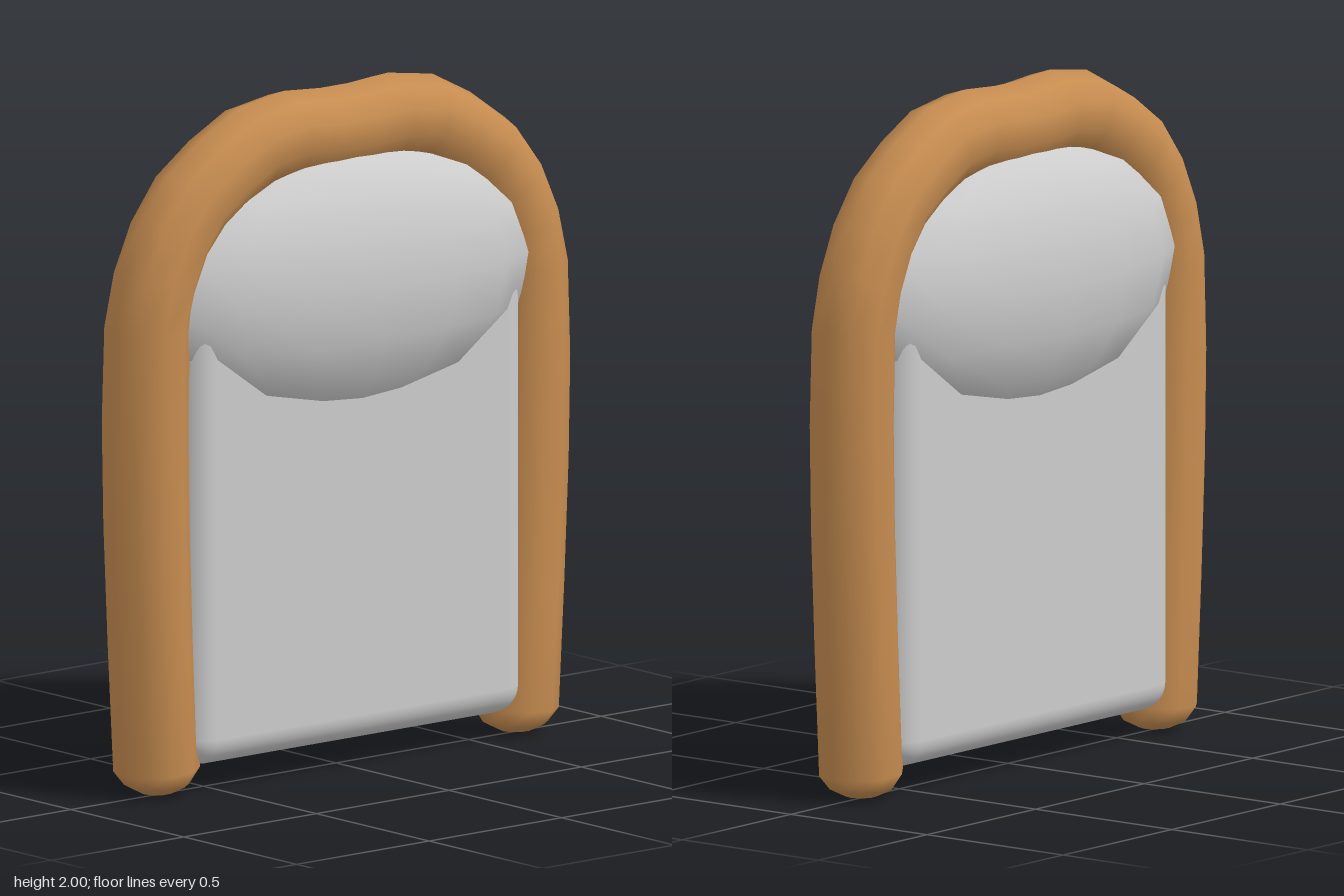
import * as THREE from 'three';
import { RoundedBoxGeometry } from 'three/addons/geometries/RoundedBoxGeometry.js';

const SIDES = 10;
const RADIUS = 0.125;

// Lofts a ten-sided tube through rings [x, y, scale] lying in the xy plane
function tubeThrough(rings) {
  const positions = [];
  const index = [];
  rings.forEach(([x, y, scale], i) => {
    const before = rings[Math.max(i - 1, 0)];
    const after = rings[Math.min(i + 1, rings.length - 1)];
    const tangent = new THREE.Vector2(after[0] - before[0], after[1] - before[1]).normalize();
    for (let j = 0; j < SIDES; j++) {
      const a = (j / SIDES) * Math.PI * 2;
      const out = Math.cos(a) * RADIUS * scale;
      positions.push(x + tangent.y * out, y - tangent.x * out, Math.sin(a) * RADIUS * scale);
      if (i < rings.length - 1) {
        const k = (j + 1) % SIDES;
        const p = i * SIDES + j, q = i * SIDES + k;
        index.push(p, p + SIDES, q, p + SIDES, q + SIDES, q);
      }
    }
  });
  const geometry = new THREE.BufferGeometry();
  geometry.setAttribute('position', new THREE.Float32BufferAttribute(positions, 3));
  geometry.setIndex(index);
  geometry.computeVertexNormals();
  return geometry;
}

export function createModel() {
  const model = new THREE.Group();
  model.name = 'paddedBackrest';

  const wood = new THREE.MeshStandardMaterial({ color: 0xc68c50 });
  wood.name = 'wood';
  const fabric = new THREE.MeshStandardMaterial({ color: 0xcccccc });
  fabric.name = 'fabric';

  const add = (name, geometry, material) => {
    const mesh = new THREE.Mesh(geometry, material);
    mesh.name = name;
    model.add(mesh);
    return mesh;
  };

  // Arched wooden frame: half the path with a rounded foot, then mirrored
  const half = [
    [0.677, 0, 0], [0.677, 0.007, 0.38], [0.677, 0.03, 0.75], [0.677, 0.075, 1],
    [0.698, 0.45, 1], [0.714, 0.8, 1], [0.72, 1.1, 1], [0.711, 1.37, 1],
    [0.68, 1.5, 1], [0.625, 1.62, 1], [0.548, 1.72, 1], [0.44, 1.795, 1],
    [0.325, 1.855, 1], [0.19, 1.875, 1], [0.065, 1.865, 1],
  ];
  const mirrored = half.map(([x, y, s]) => [-x, y, s]).reverse();
  add('frame', tubeThrough([...half, ...mirrored]), wood);

  // Upholstered panel between the uprights
  const bottom = 0.08, top = 1.5;
  const panel = add('backPanel', new RoundedBoxGeometry(1.26, top - bottom, 0.234, 4, 0.08), fabric);
  panel.position.y = (bottom + top) / 2;

  // Oval head cushion, bulging out on both faces
  const cushion = add('headCushion', new THREE.SphereGeometry(1, 16, 8), fabric);
  cushion.scale.set(0.72, 0.4, 0.237);
  cushion.position.y = 1.43;

  return model;
}
